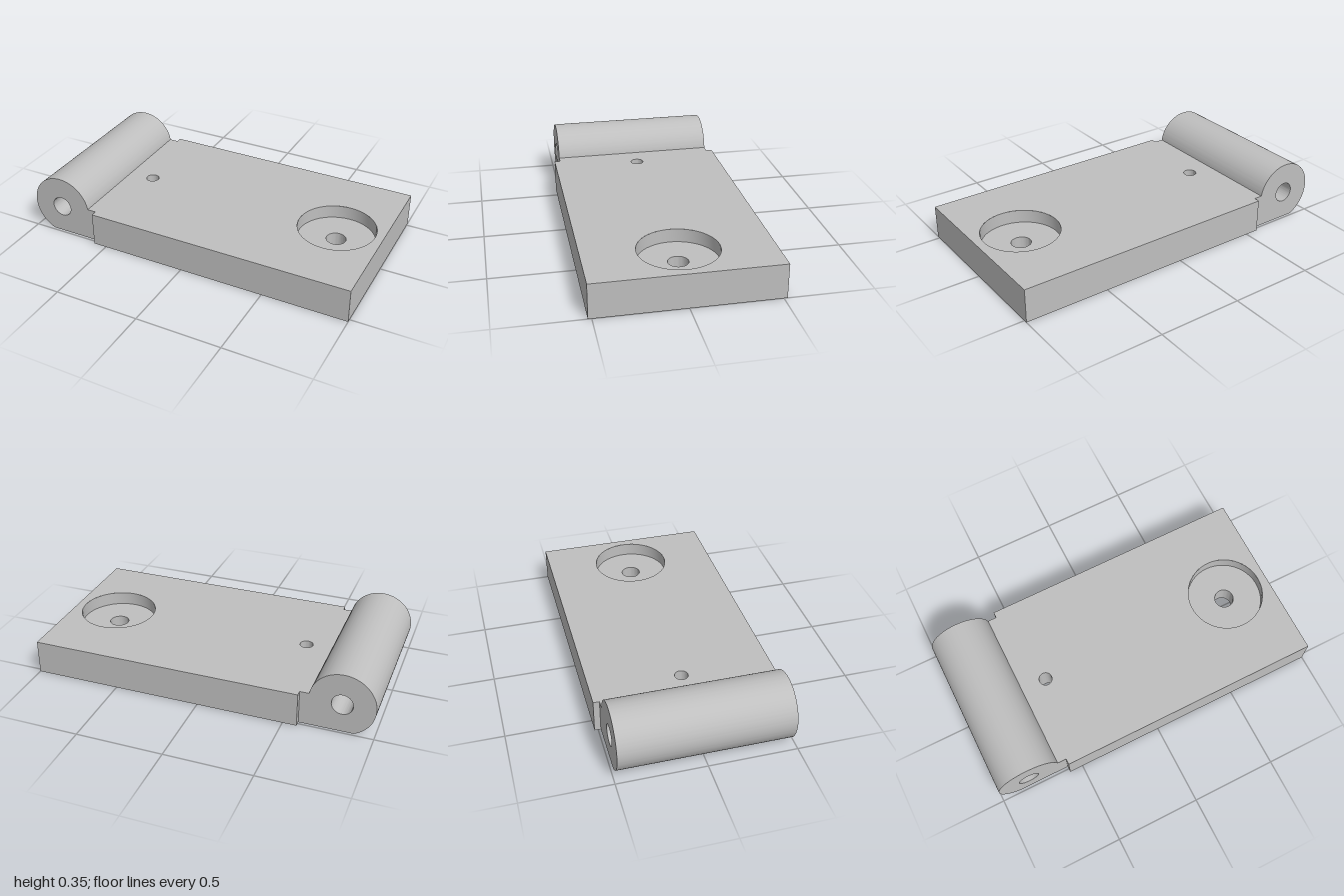
import * as THREE from 'three';
import { mergeGeometries, toCreasedNormals } from 'three/addons/utils/BufferGeometryUtils.js';

const SEG = 48;
const X0 = -0.58, X1 = 1, HALF_Z = 0.52, TOP = 0.2;            // plate
const SLOTS = [0.49, 0.32, 0.152, -0.016, -0.185];             // slot centres along x
const SLOT_W = 0.042, SLOT_HALF = 0.42, SLOT_DEPTH = 0.026;
const PILOT = { x: -0.48, r: 0.038 };
const SCREW = { x: 0.727, r: 0.057, sinkR: 0.225, floor: 0.122 };

const rect = (path, x0, x1, h) =>
  path.moveTo(x0, -h).lineTo(x1, -h).lineTo(x1, h).lineTo(x0, h).closePath();
const circle = (x, y, r) => new THREE.Path().absarc(x, y, r, 0, Math.PI * 2, true);

// Horizontal face of the plate with openings, facing up or down
function face(holes, y, up) {
  const shape = rect(new THREE.Shape(), X0, X1, HALF_Z);
  shape.holes.push(...holes);
  return new THREE.ShapeGeometry(shape, SEG).rotateX(up ? -Math.PI / 2 : Math.PI / 2).translate(0, y, 0);
}

// Inside wall of a vertical bore, profile listed from top to bottom
function bore(x, profile) {
  const points = profile.map(([r, y]) => new THREE.Vector2(r, y));
  return toCreasedNormals(new THREE.LatheGeometry(points, SEG).translate(x, 0, 0), 0.6);
}

export function createModel() {
  const group = new THREE.Group();
  const steel = new THREE.MeshStandardMaterial({ color: 0xbfbfbf });
  steel.name = 'steel grey';
  const add = (name, geometry) => {
    const mesh = new THREE.Mesh(geometry, steel);
    mesh.name = name;
    group.add(mesh);
  };

  // Plate: four side walls plus pierced top and bottom faces
  const walls = new THREE.BoxGeometry(X1 - X0, TOP, HALF_Z * 2).translate((X0 + X1) / 2, TOP / 2, 0);
  const sides = Array.from(walls.index.array);
  walls.setIndex([...sides.slice(0, 12), ...sides.slice(24)]);
  const topFace = face([circle(PILOT.x, 0, PILOT.r), circle(SCREW.x, 0, SCREW.sinkR)], TOP, true);
  const slotPaths = SLOTS.map(x => rect(new THREE.Path(), x - SLOT_W / 2, x + SLOT_W / 2, SLOT_HALF));
  const bottomFace = face([circle(PILOT.x, 0, PILOT.r), circle(SCREW.x, 0, SCREW.r), ...slotPaths], 0, false);
  walls.clearGroups();
  add('plate', mergeGeometries([walls, topFace, bottomFace]));

  // Holes through the plate
  add('pilotHole', bore(PILOT.x, [[PILOT.r, TOP], [PILOT.r, 0]]));
  add('counterboredHole', bore(SCREW.x, [
    [SCREW.sinkR, TOP], [SCREW.sinkR, SCREW.floor], [SCREW.r, SCREW.floor], [SCREW.r, 0]]));

  // Slots in the underside: inward-facing boxes, open at the bottom
  for (const x of SLOTS) {
    const slot = new THREE.BoxGeometry(SLOT_W, SLOT_DEPTH, SLOT_HALF * 2).translate(x, SLOT_DEPTH / 2, 0);
    const index = Array.from(slot.index.array);
    slot.clearGroups();
    slot.setIndex([...index.slice(0, 18), ...index.slice(24)].reverse());
    slot.computeVertexNormals();
    add('undersideSlot', slot);
  }

  // Hinge barrel with a flat underside and a neck joining the plate
  const cx = -0.815, cy = 0.17, r = 0.185, halfLength = 0.485;
  const profile = new THREE.Shape();
  profile.moveTo(X0, 0).lineTo(X0, TOP);
  profile.absarc(cx, cy, r, Math.asin((TOP - cy) / r), Math.PI + Math.asin(cy / r), false);
  profile.closePath();
  profile.holes.push(circle(cx, cy, 0.06));
  const barrel = new THREE.ExtrudeGeometry(profile, {
    depth: halfLength * 2, bevelEnabled: false, curveSegments: SEG });
  add('hingeBarrel', toCreasedNormals(barrel.translate(0, 0, -halfLength), 0.5));

  return group;
}
